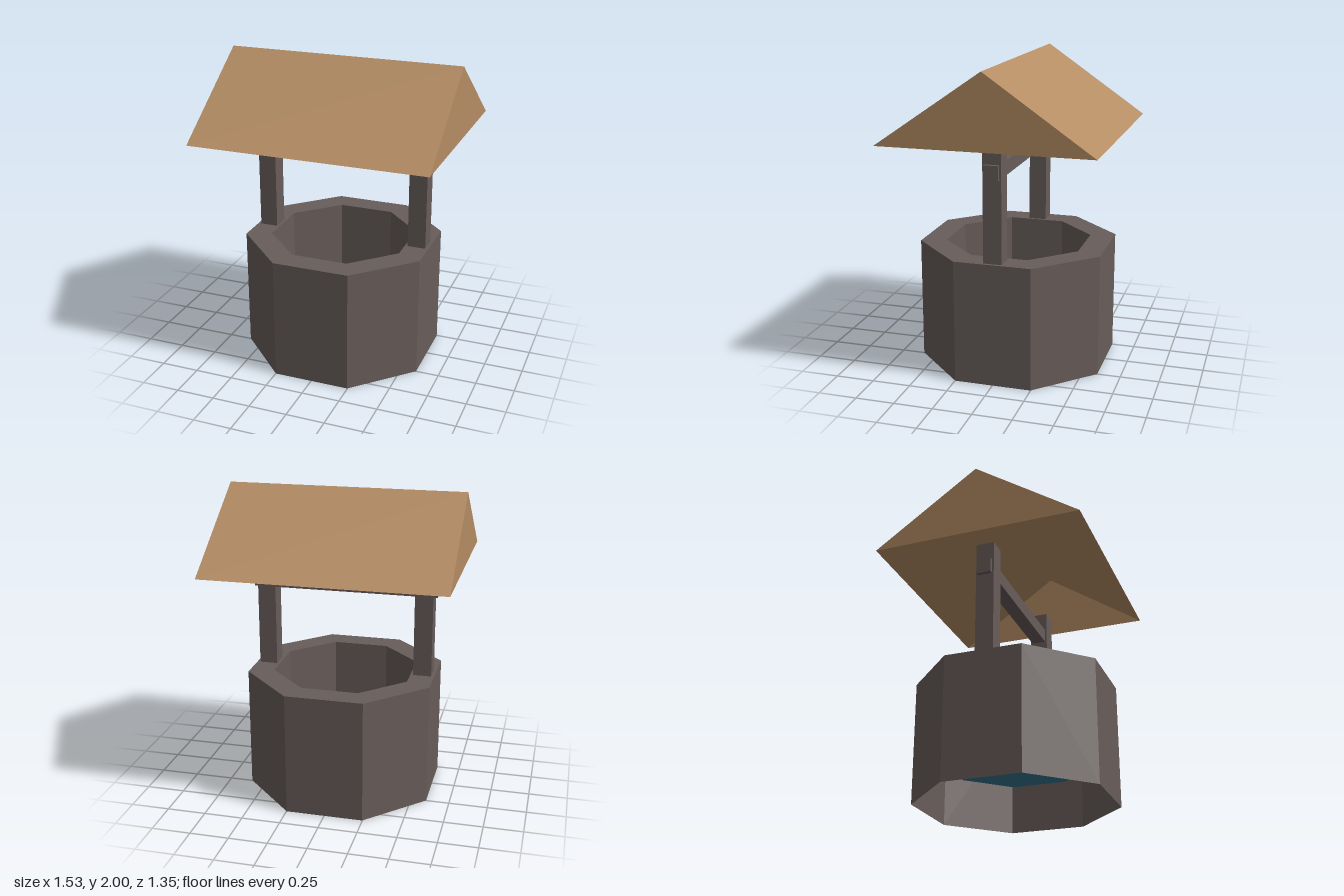
import * as THREE from 'three';

const paint = (name, color) =>
  new THREE.MeshStandardMaterial({ name, color, flatShading: true, side: THREE.DoubleSide });

export function createModel() {
  const stone = paint('grey stone', 0x685d5a);
  const wood = paint('tan roof wood', 0xb58d64);
  const blue = paint('water blue', 0x347690);
  const group = new THREE.Group();
  group.name = 'well';

  const add = (name, geometry, material, x = 0, y = 0, z = 0) => {
    const mesh = new THREE.Mesh(geometry, material);
    mesh.name = name;
    mesh.position.set(x, y, z);
    group.add(mesh);
    return mesh;
  };
  const faceted = (geometry) => {
    const g = geometry.toNonIndexed();
    g.computeVertexNormals();
    return g;
  };

  // Octagonal wall: outer shell, flat rim and inner shaft down to the water
  const outer = 0.6 / Math.cos(Math.PI / 8);
  const inner = 0.48;
  const waterY = 0.27;
  const profile = [[outer, 0], [outer, 0.8], [inner, 0.8], [inner, waterY]]
    .map(([r, y]) => new THREE.Vector2(r, y));
  add('wall', faceted(new THREE.LatheGeometry(profile, 8, Math.PI / 8)), stone);

  // Water surface closing the shaft
  const water = new THREE.CircleGeometry(inner, 8, Math.PI / 8);
  water.rotateX(-Math.PI / 2);
  add('water', water, blue, 0, waterY, 0);

  // Posts standing on the rim, reaching just inside the roof
  for (const side of [1, -1]) {
    add(side > 0 ? 'leftPost' : 'rightPost',
      new THREE.BoxGeometry(0.118, 0.75, 0.118), stone, side * 0.521, 1.175, 0);
  }

  // Crossbeam passing through both posts
  add('crossbeam', new THREE.BoxGeometry(1.21, 0.094, 0.094), stone, 0, 1.376, 0);

  // Hollow gabled roof, open underneath
  const w = 0.764, d = 0.677, eave = 1.534, ridge = 2;
  const roof = new THREE.BufferGeometry();
  roof.setAttribute('position', new THREE.Float32BufferAttribute([
    -w, eave, d, w, eave, d, w, ridge, 0,
    -w, ridge, 0, -w, eave, -d, w, eave, -d,
  ], 3));
  roof.setIndex([
    0, 1, 2, 0, 2, 3, // front slope
    5, 4, 3, 5, 3, 2, // back slope
    1, 5, 2, 4, 0, 3, // gables
  ]);
  add('roof', faceted(roof), wood);

  return group;
}
